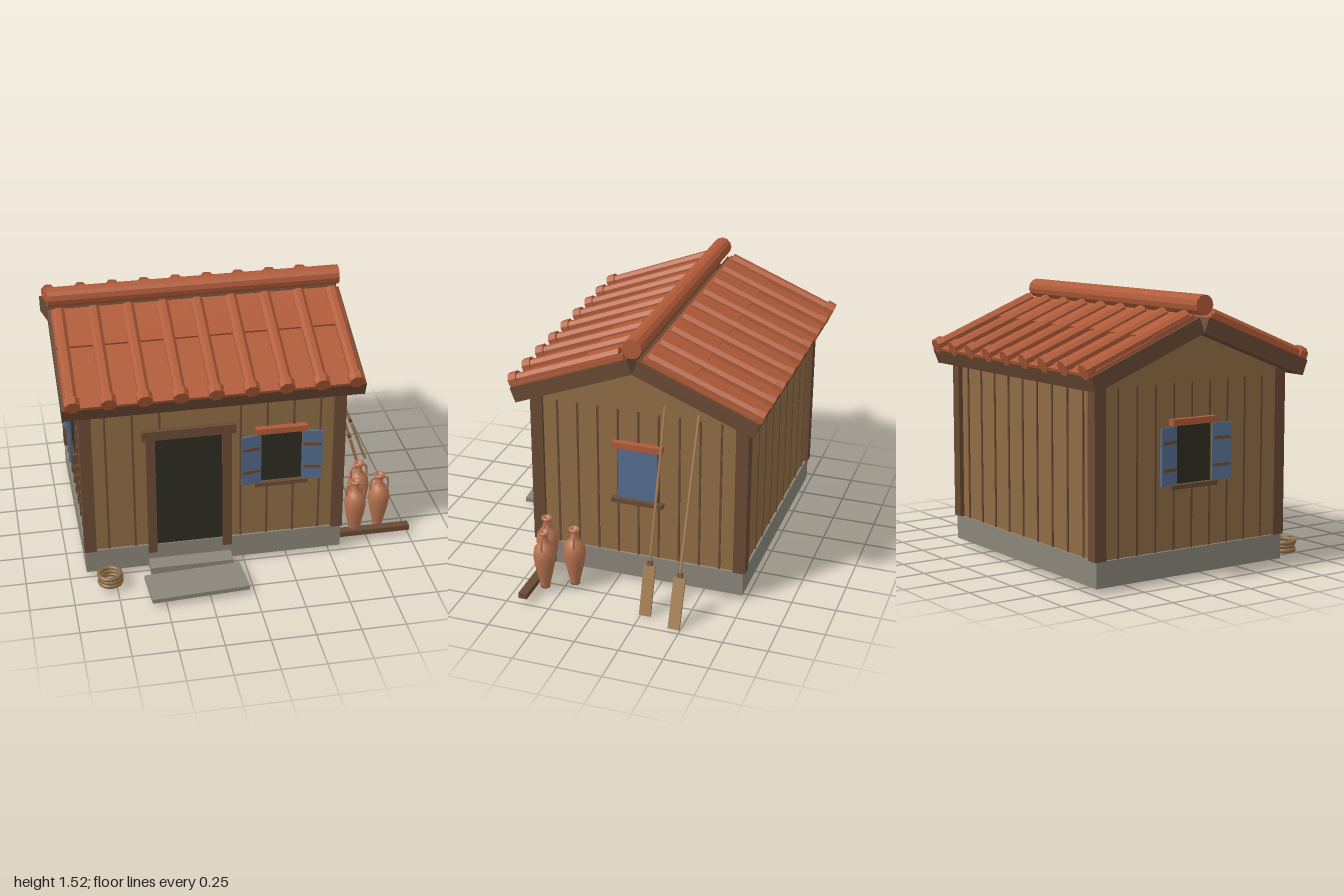
import * as THREE from 'three';

const mat = (name, color, extra = {}) => {
  const m = new THREE.MeshStandardMaterial({ color, ...extra });
  m.name = name;
  return m;
};

export function createModel() {
  const wood = mat('wallWood', 0x8f6c44);
  const trim = mat('darkTimber', 0x694a34);
  const tile = mat('roofTile', 0xb05b38);
  const stone = mat('stone', 0x8a857a);
  const blue = mat('shutterBlue', 0x546c8e);
  const dark = mat('darkOpening', 0x2d2d22);
  const clay = mat('clay', 0xb87350);
  const rope = mat('rope', 0x8a6a42);
  const oarWood = mat('oarWood', 0xa07a4c);

  const model = new THREE.Group();
  model.name = 'cottage';
  const CX = -0.17, CZ = -0.12, WX = 0.72, WZ = 0.6;

  const add = (parent, name, geo, material, x = 0, y = 0, z = 0) => {
    const m = new THREE.Mesh(geo, material);
    m.name = name;
    m.position.set(x, y, z);
    parent.add(m);
    return m;
  };
  // box given by its extents on each axis
  const span = (parent, name, material, x0, x1, y0, y1, z0, z1) =>
    add(parent, name, new THREE.BoxGeometry(x1 - x0, y1 - y0, z1 - z0), material,
      (x0 + x1) / 2, (y0 + y1) / 2, (z0 + z1) / 2);
  const group = (parent, name, x = 0, y = 0, z = 0, ry = 0) => {
    const g = new THREE.Group();
    g.name = name;
    g.position.set(x, y, z);
    g.rotation.y = ry;
    parent.add(g);
    return g;
  };

  // stone base, walls and gables
  span(model, 'foundation', stone, CX - 0.735, CX + 0.735, 0.03, 0.17, CZ - 0.612, CZ + 0.612);
  const prism = (name, points, width) => {
    const shape = new THREE.Shape(points.map(p => new THREE.Vector2(p[0], p[1])));
    const geo = new THREE.ExtrudeGeometry(shape, { depth: width, bevelEnabled: false });
    geo.translate(0, 0, -width / 2).rotateY(Math.PI / 2);
    add(model, name, geo, wood, CX, 0, CZ);
  };
  prism('walls', [[-WZ, 0.165], [WZ, 0.165], [WZ, 1.12], [0, 1.355], [-WZ, 1.12]], WX * 2);
  prism('gablePanels', [[-0.56, 1.1], [0.56, 1.1], [0.56, 1.13], [0, 1.35], [-0.56, 1.13]], WX * 2 + 0.012);

  // corner posts
  for (const sx of [-1, 1]) for (const sz of [-1, 1])
    add(model, 'cornerPost', new THREE.BoxGeometry(0.066, 0.93, 0.07), trim,
      CX + sx * 0.707, 0.635, CZ + sz * 0.59);

  // wall battens
  for (let k = -4; k <= 4; k++) {
    for (const s of [-1, 1]) {
      if (!(s > 0 && (k === -1 || k === 0)))
        add(model, 'wallBatten', new THREE.BoxGeometry(0.011, 0.89, 0.014), trim,
          CX + k * 0.15, 0.615, CZ + s * WZ);
      add(model, 'gableWallBatten', new THREE.BoxGeometry(0.014, 0.89, 0.011), trim,
        CX + s * WX, 0.615, CZ + k * 0.118);
    }
  }

  // door
  const F = CZ + WZ;
  span(model, 'doorOpening', dark, -0.505, -0.12, 0.172, 0.87, F, F + 0.009);
  span(model, 'doorJamb', trim, -0.55, -0.5, 0.125, 0.866, F - 0.01, 0.507);
  span(model, 'doorJamb', trim, -0.125, -0.073, 0.125, 0.866, F - 0.01, 0.507);
  span(model, 'doorLintel', trim, -0.573, -0.05, 0.865, 0.92, F - 0.01, 0.515);

  // steps
  span(model, 'upperStep', stone, -0.55, -0.08, 0.03, 0.077, 0.47, 0.59);
  const slab = add(model, 'lowerStep', new THREE.BoxGeometry(0.55, 0.025, 0.235), stone, -0.313, 0.042, 0.72);
  slab.rotation.y = 0.058;

  // window facing local +z, shutters open or closed
  const makeWindow = (x, z, ry, open) => {
    const g = group(model, 'window', x, 0.682, z, ry);
    add(g, 'windowOpening', new THREE.BoxGeometry(0.235, 0.315, 0.018), dark);
    add(g, 'windowLintel', new THREE.BoxGeometry(0.29, 0.035, 0.05), tile, 0, 0.173, 0.012);
    add(g, 'windowSill', new THREE.BoxGeometry(0.3, 0.024, 0.05), trim, 0, -0.17, 0.012);
    for (const s of [-1, 1]) {
      const hinge = group(g, 'shutter', s * 0.116, 0, open ? 0.026 : 0.014, open ? -s * 0.17 : 0);
      const cx = s * (open ? 0.058 : -0.059);
      add(hinge, 'shutterPanel', new THREE.BoxGeometry(0.114, 0.308, 0.012), blue, cx, 0, 0);
      if (open) for (const y of [-0.073, 0.073])
        add(hinge, 'shutterBatten', new THREE.BoxGeometry(0.1, 0.018, 0.008), trim, cx, y, 0.008);
    }
  };
  makeWindow(0.207, F, 0, true);
  makeWindow(CX - WX, CZ, -Math.PI / 2, true);
  makeWindow(CX + WX, CZ, Math.PI / 2, false);

  // roof: each slope is built with z running down the slope and y as its normal
  for (const ry of [0, Math.PI]) {
    const side = group(model, 'roofSide', CX - 0.002, 1.325, CZ, ry);
    const slope = group(side, 'roofSlope');
    slope.rotation.x = 0.376;
    span(slope, 'roofDeck', trim, -0.815, 0.815, 0, 0.083, 0, 0.722);
    for (const s of [-1, 1])
      add(slope, 'bargeboard', new THREE.BoxGeometry(0.014, 0.088, 0.724), trim, s * 0.821, 0.043, 0.362);
    span(slope, 'lowerPanTiles', tile, -0.812, 0.812, 0.084, 0.1, 0.25, 0.722);
    span(slope, 'upperPanTiles', tile, -0.812, 0.812, 0.084, 0.112, 0.02, 0.3);
    for (let k = -4; k <= 4; k++) {
      const roll = new THREE.CylinderGeometry(0.033, 0.037, 0.65, 8).rotateY(Math.PI / 8).rotateX(Math.PI / 2);
      const cap = new THREE.CylinderGeometry(0.044, 0.046, 0.05, 8).rotateY(Math.PI / 8).rotateX(Math.PI / 2);
      for (const [name, geo, z] of [['coverTile', roll, 0.365], ['eaveTile', cap, 0.702]]) {
        const m = add(slope, name, geo.toNonIndexed(), tile, k * 0.193, 0.11, z);
        m.geometry.computeVertexNormals();
      }
    }
  }
  const ridge = new THREE.CylinderGeometry(0.055, 0.055, 1.655, 12).rotateZ(Math.PI / 2).toNonIndexed();
  ridge.computeVertexNormals();
  add(model, 'ridgeTile', ridge, tile, CX - 0.002, 1.469, CZ);

  // oars leaning on the gable wall
  for (const [top, bottomX, topY, z] of [[0.56, 0.893, 1.125, -0.275], [0.56, 0.968, 1.1, -0.465]]) {
    const a = new THREE.Vector3(top, topY, z), b = new THREE.Vector3(bottomX, 0.003, z);
    const len = a.distanceTo(b);
    const g = group(model, 'oar', b.x, b.y, b.z);
    g.rotation.z = Math.atan2(b.x - a.x, a.y - b.y);
    add(g, 'oarShaft', new THREE.CylinderGeometry(0.008, 0.008, len - 0.25, 8), oarWood, 0, (len + 0.25) / 2, 0);
    add(g, 'oarBlade', new THREE.BoxGeometry(0.014, 0.285, 0.066), oarWood, 0, 0.143, 0);
    add(g, 'oarCollar', new THREE.BoxGeometry(0.02, 0.026, 0.028), trim, 0, 0.298, 0);
  }

  // clay jars with two handles
  const profile = [[0, 0], [0.028, 0], [0.027, 0.015], [0.04, 0.07], [0.055, 0.14], [0.063, 0.2], [0.058, 0.245],
    [0.038, 0.275], [0.022, 0.295], [0.019, 0.325], [0.021, 0.335], [0.031, 0.34], [0.031, 0.352], [0.018, 0.352], [0, 0.33]];
  const jarGeo = new THREE.LatheGeometry(profile.map(p => new THREE.Vector2(p[0], p[1])), 16);
  for (const [x, z, ry] of [[0.746, 0.19, 0.3], [0.832, 0.335, 0.1], [0.678, 0.38, 0]]) {
    const jar = group(model, 'jar', x, 0.033, z, ry);
    add(jar, 'jarBody', jarGeo, clay);
    for (const s of [-1, 1]) {
      const curve = new THREE.CatmullRomCurve3([[0.02, 0.325], [0.042, 0.327], [0.054, 0.3], [0.053, 0.25]]
        .map(p => new THREE.Vector3(s * p[0], p[1], 0)));
      add(jar, 'jarHandle', new THREE.TubeGeometry(curve, 10, 0.007, 6), clay);
    }
  }
  span(model, 'groundPlank', trim, 0.565, 1.0, 0.036, 0.068, 0.378, 0.428);

  // rope coil
  [[0.06, 0], [0.058, 0.004], [0.06, -0.003]].forEach(([r, dx], i) =>
    add(model, 'ropeCoil', new THREE.TorusGeometry(r, 0.013, 8, 20).rotateX(Math.PI / 2), rope,
      -0.785 + dx, 0.045 + i * 0.023, 0.615));

  return model;
}
